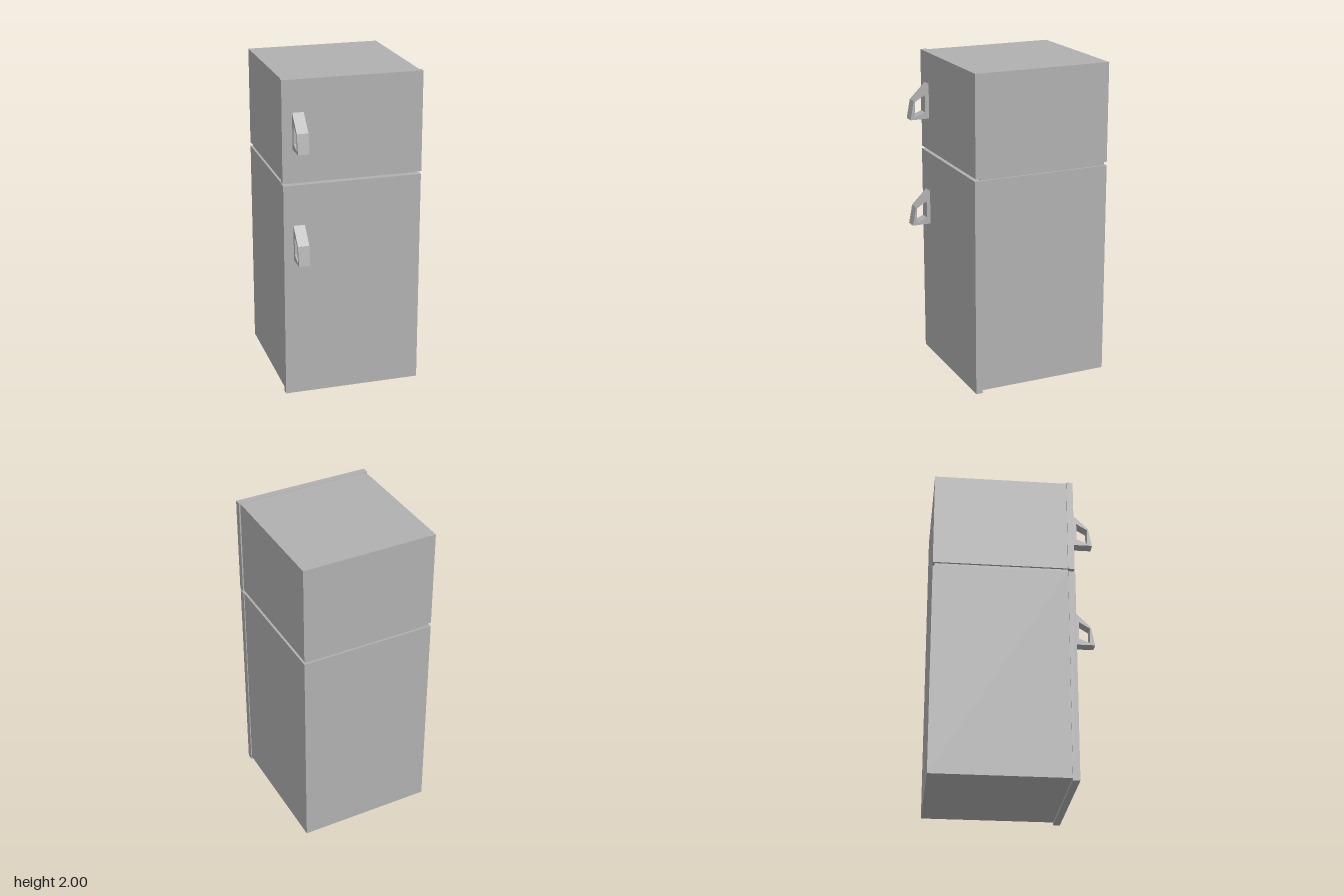
import * as THREE from 'three';

export function createModel() {
  const group = new THREE.Group();
  group.name = 'refrigerator';
  const grey = new THREE.MeshStandardMaterial({ color: 0xb0b0b0 });
  grey.name = 'grey enamel';

  // Box given by its half width and its y and z ranges
  function addBox(name, halfWidth, y0, y1, z0, z1) {
    const mesh = new THREE.Mesh(new THREE.BoxGeometry(halfWidth * 2, y1 - y0, z1 - z0), grey);
    mesh.position.set(0, (y0 + y1) / 2, (z0 + z1) / 2);
    mesh.name = name;
    group.add(mesh);
  }

  // Cabinets, with a recessed band in the gap between them
  addBox('lowerCabinet', 0.424, 0.016, 1.358, -0.5, 0.336);
  addBox('upperCabinet', 0.424, 1.382, 1.997, -0.5, 0.336);
  addBox('gapBand', 0.41, 1.35, 1.39, -0.487, 0.336);

  // Doors
  addBox('lowerDoor', 0.43, 0, 1.36, 0.336, 0.379);
  addBox('upperDoor', 0.433, 1.376, 2, 0.336, 0.376);

  // Handle side profile (z forward, y up) with a finger opening
  const points = list => list.map(([z, y]) => new THREE.Vector2(z, y));
  const profile = new THREE.Shape(points([[0.375, 0], [0.5, 0], [0.477, 0.12], [0.375, 0.222]]));
  profile.holes.push(new THREE.Path(points([[0.403, 0.042], [0.403, 0.153], [0.47, 0.112], [0.47, 0.014]])));
  const handleGeometry = new THREE.ExtrudeGeometry(profile, { depth: 0.07, bevelEnabled: false });
  handleGeometry.rotateY(-Math.PI / 2);

  for (const [name, y] of [['upperHandle', 1.582], ['lowerHandle', 0.89]]) {
    const handle = new THREE.Mesh(handleGeometry, grey);
    handle.position.set(-0.3, y, 0);
    handle.name = name;
    group.add(handle);
  }

  return group;
}
